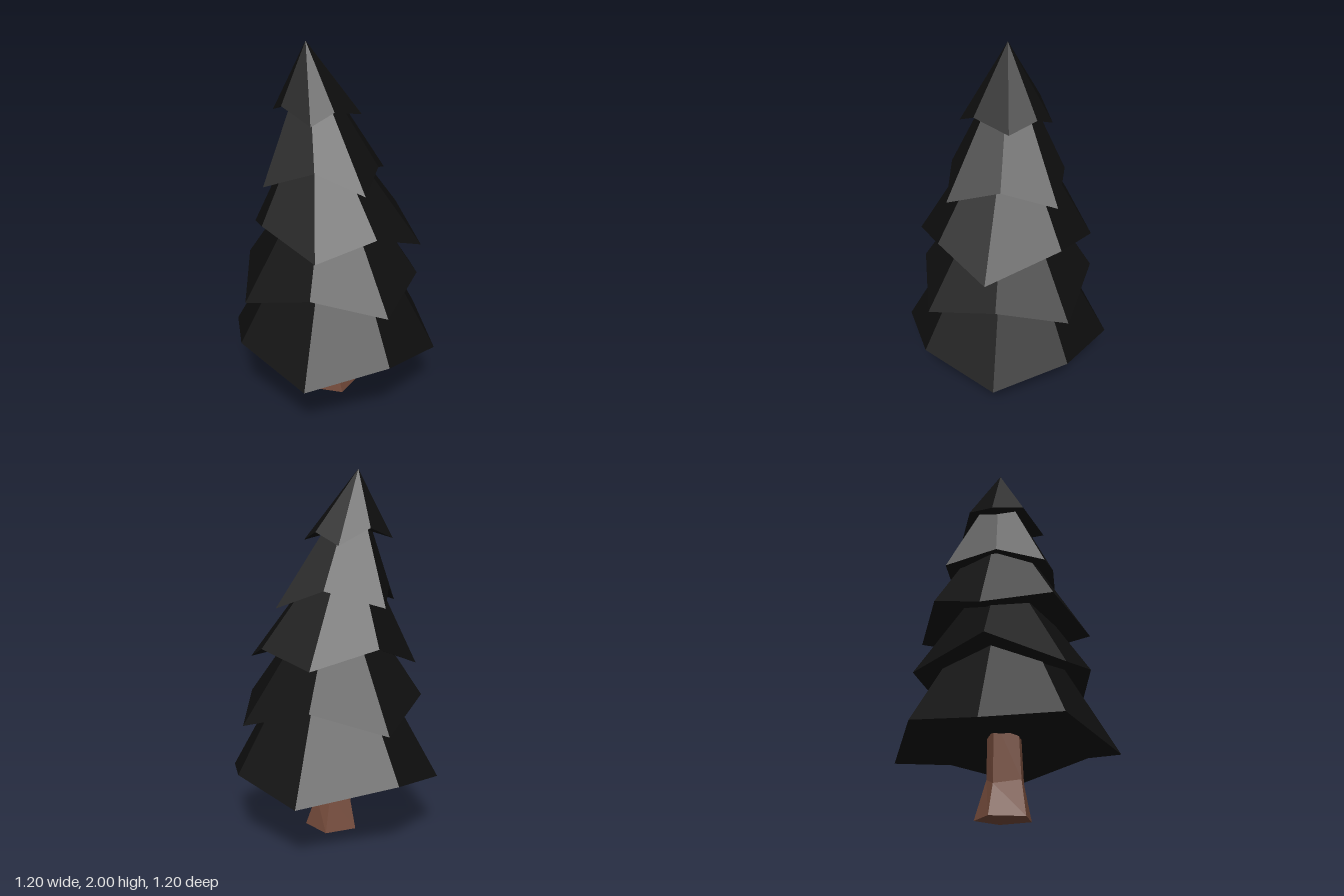
import * as THREE from 'three';

const foliage = new THREE.MeshStandardMaterial({ color: 0x0e0e0e });
foliage.name = 'dark foliage';
const bark = new THREE.MeshStandardMaterial({ color: 0x734a3a });
bark.name = 'brown bark';

// Unindexed triangles give flat facets
function facetMesh(name, triangles, material) {
  const geometry = new THREE.BufferGeometry();
  geometry.setAttribute('position', new THREE.Float32BufferAttribute(triangles.flat(2), 3));
  geometry.computeVertexNormals();
  const mesh = new THREE.Mesh(geometry, material);
  mesh.name = name;
  return mesh;
}

// Fan from a point to a closed ring; facing up and out, or down
function fan(point, ring, up) {
  return ring.map((p, i) => {
    const q = ring[(i + 1) % ring.length];
    return up ? [point, q, p] : [point, p, q];
  });
}

// Band of quads between two rings
function band(lower, upper) {
  return lower.flatMap((p, i) => {
    const j = (i + 1) % lower.length;
    return [[p, upper[i], upper[j]], [p, upper[j], lower[j]]];
  });
}

// Each tier: apex, hollow centre, and eight rim corners from +x round by +z
const tiers = [
  { name: 'bottomBranches', apex: [0, 1.38, 0], hollow: [0, 0.43, 0],
    rim: [[0.6, 0.31, 0], [0.41, 0.395, 0.41], [0, 0.3, 0.6], [-0.43, 0.4, 0.37],
      [-0.6, 0.34, 0], [-0.44, 0.4, -0.37], [0.04, 0.32, -0.6], [0.42, 0.395, -0.39]] },
  { name: 'lowerBranches', apex: [-0.03, 1.48, 0], hollow: [-0.01, 0.8, 0],
    rim: [[0.48, 0.77, 0], [0.39, 0.665, 0.38], [0, 0.765, 0.475], [-0.39, 0.66, 0.38],
      [-0.5, 0.8, 0], [-0.39, 0.66, -0.38], [0, 0.78, -0.48], [0.39, 0.665, -0.38]] },
  { name: 'middleBranches', apex: [-0.1, 1.73, 0], hollow: [-0.02, 1.11, 0],
    rim: [[0.5, 0.96, 0.05], [0.31, 1.07, 0.32], [0.03, 0.975, 0.48], [-0.3, 1.09, 0.32],
      [-0.47, 0.98, -0.03], [-0.32, 1.09, -0.31], [0, 0.99, -0.47], [0.3, 1.07, -0.32]] },
  { name: 'upperBranches', apex: [-0.13, 1.95, 0], hollow: [-0.05, 1.4, 0],
    rim: [[0.25, 1.36, 0], [0.24, 1.28, 0.28], [-0.02, 1.385, 0.295], [-0.3, 1.29, 0.28],
      [-0.31, 1.38, 0.02], [-0.34, 1.29, -0.25], [-0.03, 1.375, -0.305], [0.23, 1.28, -0.29]] },
  { name: 'topBranches', apex: [-0.14, 2, 0.01], hollow: [-0.1, 1.71, 0],
    rim: [[0.15, 1.63, -0.03], [0.05, 1.67, 0.16], [-0.05, 1.61, 0.25], [-0.23, 1.69, 0.16],
      [-0.33, 1.64, 0], [-0.24, 1.69, -0.15], [-0.09, 1.6, -0.23], [0.05, 1.67, -0.16]] },
];

export function createModel() {
  const tree = new THREE.Group();
  tree.name = 'pineTree';

  // Five-sided trunk with a flared foot
  const foot = [[0.145, 0, -0.046], [0.09, 0, 0.13], [-0.09, 0, 0.13], [-0.148, 0, -0.046], [0, 0, -0.15]];
  const waist = [[0.082, 0.18, -0.045], [0.045, 0.18, 0.1], [-0.035, 0.19, 0.1], [-0.115, 0.16, -0.03], [-0.01, 0.2, -0.085]];
  const head = [[0.08, 0.5, -0.045], [0.05, 0.5, 0.085], [-0.03, 0.5, 0.085], [-0.095, 0.5, -0.03], [0, 0.5, -0.085]];
  tree.add(facetMesh('trunk', [
    ...band(foot, waist), ...band(waist, head),
    ...fan([0, 0, 0], foot, false), ...fan([0, 0.5, 0], head, true),
  ], bark));

  // Stacked, jagged skirts of foliage
  for (const { name, apex, hollow, rim } of tiers) {
    tree.add(facetMesh(name, [...fan(apex, rim, true), ...fan(hollow, rim, false)], foliage));
  }
  return tree;
}
